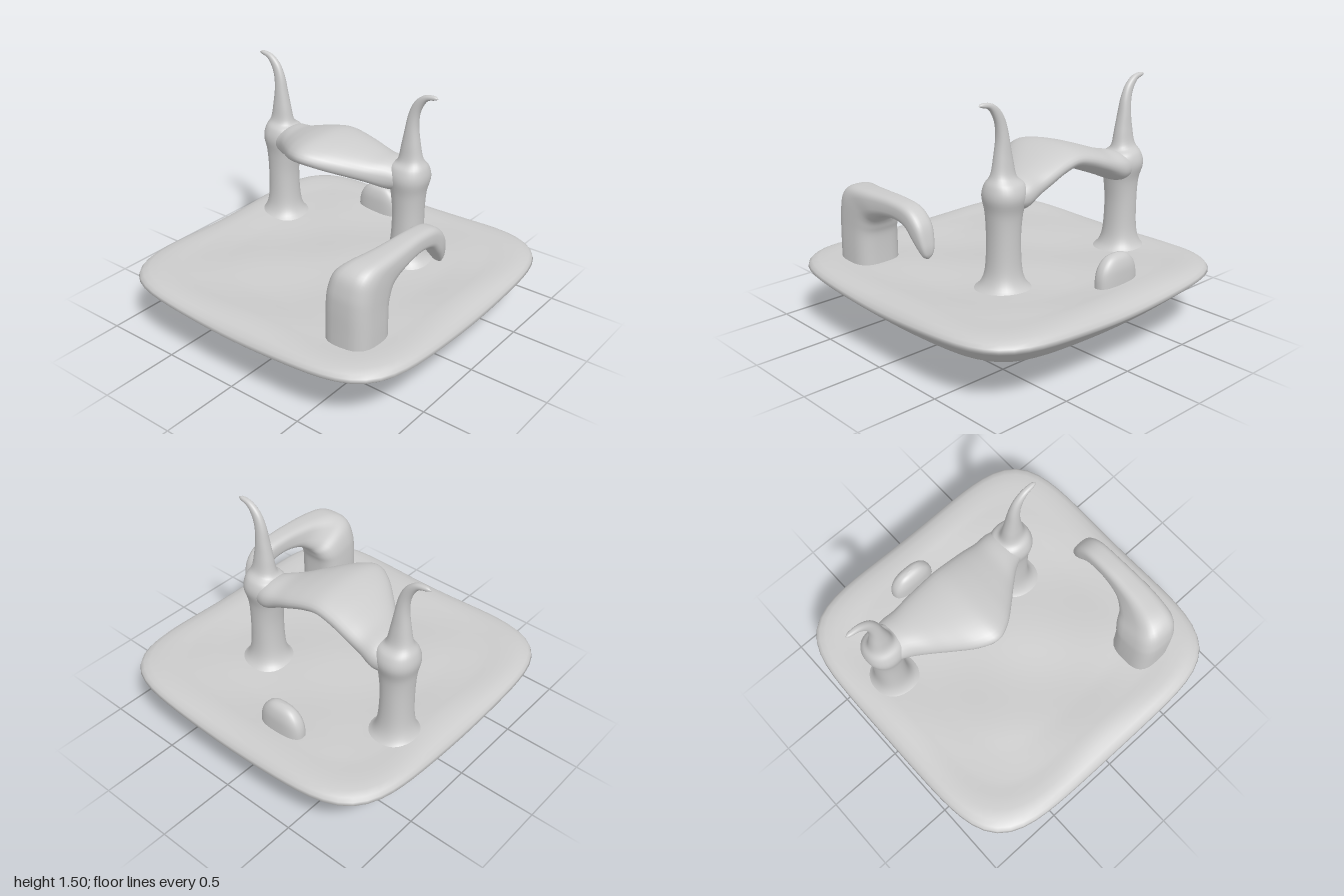
import * as THREE from 'three';

const material = new THREE.MeshStandardMaterial({ color: 0xcccccc });
const power = (v, e) => Math.sign(v) * Math.abs(v) ** e;

// Skin closed rings into a smooth surface, turned so that faces look outward
function skin(name, rings, sides, point) {
  const pos = [], index = [];
  for (let i = 0; i < rings; i++)
    for (let j = 0; j < sides; j++) pos.push(...point(i, (j / sides) * Math.PI * 2));
  for (let i = 0; i < rings - 1; i++)
    for (let j = 0; j < sides; j++) {
      const a = i * sides + j, b = i * sides + ((j + 1) % sides);
      index.push(a, b, a + sides, b, b + sides, a + sides);
    }
  const at = (k) => new THREE.Vector3().fromArray(pos, k * 3);
  let volume = 0;
  for (let k = 0; k < index.length; k += 3)
    volume += at(index[k]).dot(at(index[k + 1]).cross(at(index[k + 2])));
  if (volume < 0) index.reverse();
  const geometry = new THREE.BufferGeometry();
  geometry.setAttribute('position', new THREE.Float32BufferAttribute(pos, 3));
  geometry.setIndex(index);
  geometry.computeVertexNormals();
  const mesh = new THREE.Mesh(geometry, material);
  mesh.name = name;
  return mesh;
}

// Smoothly interpolate rows of numbers (Catmull-Rom)
function smoothRows(rows, steps) {
  const out = [], last = rows.length - 1;
  for (let s = 0; s <= last * steps; s++) {
    const i = Math.min(Math.floor(s / steps), last - 1), t = s / steps - i;
    const [a, b, c, d] = [rows[Math.max(i - 1, 0)], rows[i], rows[i + 1], rows[Math.min(i + 2, last)]];
    out.push(b.map((v, k) => {
      const slope = c[k] - a[k];
      const square = 2 * a[k] - 5 * v + 4 * c[k] - d[k];
      const cube = 3 * (v - c[k]) + d[k] - a[k];
      return v + 0.5 * t * (slope + t * (square + t * cube));
    }));
  }
  return out;
}

// Loft sections [u1, v1, u2, v2, centre, halfDepth]: each spans two in-plane points
function loft(name, rows, exponent, place) {
  const sections = smoothRows(rows, 5);
  return skin(name, sections.length, 32, (i, angle) => {
    const [u1, v1, u2, v2, centre, depth] = sections[i];
    const s = power(Math.cos(angle), 2 / exponent) / 2, d = power(Math.sin(angle), 2 / exponent);
    return place((u1 + u2) / 2 + s * (u2 - u1), (v1 + v2) / 2 + s * (v2 - v1), centre + d * Math.max(depth, 0));
  });
}

// Rounded-square dish: shallow underside, rolled rim with raised corners, rippled top
function makeBase() {
  const under = [[0, 0], [0.18, 0.012], [0.35, 0.028], [0.5, 0.058], [0.65, 0.09], [0.75, 0.14],
    [0.84, 0.195], [0.92, 0.26], [0.98, 0.31], [1, 0.33]];
  const rim = [[0.995, 0.35], [0.98, 0.372], [0.95, 0.393], [0.9, 0.408], [0.84, 0.413]];
  const top = Array.from({ length: 22 }, (_, i) => [0.8 * (1 - i / 21), 0.41 - 0.01 * Math.min(1, i / 5)]);
  const profile = [...under, ...rim, ...top];
  return skin('base', profile.length, 96, (i, angle) => {
    const [r, y] = profile[i], c = Math.cos(angle), s = Math.sin(angle);
    const n = 2.6 + 2.8 * r;
    const k = r / (Math.abs(c) ** n + Math.abs(s) ** n) ** (1 / n);
    const x = k * c, z = k * s;
    const onTop = i >= under.length;
    const fade = onTop ? Math.min(1, Math.max(0, (r - 0.8) * 5)) : 1;
    const lift = 0.035 * Math.sin(2 * angle) ** 2 * r ** 4 * fade;
    const ripple = onTop ? 0.014 * Math.sin(6.5 * x + 1.2) * Math.cos(6 * z + 0.6) * (1 - r ** 4) : 0;
    return [x, y + lift + ripple, z];
  });
}

// Post with a flared foot, swollen joint and outward curling horn
const post = [
  [-0.89, 0.38, -0.53, 0.38, -0.3, 0.18],
  [-0.84, 0.43, -0.58, 0.43, -0.3, 0.13],
  [-0.812, 0.52, -0.605, 0.52, -0.3, 0.105],
  [-0.805, 0.7, -0.613, 0.7, -0.3, 0.1],
  [-0.813, 0.85, -0.6, 0.84, -0.3, 0.107],
  [-0.833, 0.95, -0.58, 0.95, -0.305, 0.128],
  [-0.822, 1.02, -0.585, 1.02, -0.305, 0.11],
  [-0.79, 1.08, -0.63, 1.06, -0.302, 0.066],
  [-0.77, 1.18, -0.652, 1.16, -0.3, 0.05],
  [-0.757, 1.28, -0.672, 1.26, -0.3, 0.04],
  [-0.763, 1.36, -0.692, 1.36, -0.3, 0.031],
  [-0.785, 1.42, -0.728, 1.44, -0.3, 0.025],
  [-0.82, 1.465, -0.79, 1.493, -0.3, 0.02],
  [-0.868, 1.48, -0.86, 1.505, -0.3, 0.014],
  [-0.89, 1.49, -0.89, 1.492, -0.3, 0],
];

// Half of the arched canopy between the posts: top and bottom edge, then depth
const halfArch = [
  [-0.72, 1.0, -0.72, 0.88, -0.305, 0.1],
  [-0.62, 1.045, -0.62, 0.855, -0.295, 0.14],
  [-0.52, 1.065, -0.52, 0.895, -0.25, 0.175],
  [-0.42, 1.1, -0.42, 0.935, -0.205, 0.22],
  [-0.31, 1.135, -0.31, 0.975, -0.158, 0.263],
];
const mirrorX = (x) => -0.4 - x;
const arch = [
  ...halfArch,
  [-0.2, 1.152, -0.2, 1.0, -0.135, 0.285],
  ...halfArch.map(([a, b, c, d, e, f]) => [mirrorX(a), b, mirrorX(c), d, e, f]).reverse(),
];

// Square pillar bending back into a drooping hook (z, y inner and outer; x centre)
const hook = [
  [0.45, 0.36, 0.76, 0.36, 0.605, 0.155],
  [0.45, 0.5, 0.76, 0.5, 0.605, 0.155],
  [0.445, 0.6, 0.76, 0.64, 0.606, 0.152],
  [0.43, 0.65, 0.752, 0.74, 0.61, 0.148],
  [0.415, 0.685, 0.72, 0.835, 0.622, 0.136],
  [0.39, 0.715, 0.64, 0.885, 0.645, 0.112],
  [0.33, 0.753, 0.5, 0.9, 0.668, 0.09],
  [0.25, 0.775, 0.35, 0.905, 0.677, 0.077],
  [0.16, 0.78, 0.19, 0.905, 0.68, 0.07],
  [0.07, 0.757, 0.04, 0.885, 0.682, 0.069],
  [0.005, 0.69, -0.05, 0.81, 0.682, 0.066],
  [-0.035, 0.64, -0.086, 0.7, 0.682, 0.05],
  [-0.06, 0.607, -0.09, 0.635, 0.682, 0.03],
  [-0.075, 0.6, -0.077, 0.602, 0.682, 0],
];

// Low rounded stub at the back
const stub = [
  [-0.36, 0.36, -0.05, 0.36, -0.71, 0.065],
  [-0.358, 0.45, -0.052, 0.45, -0.71, 0.064],
  [-0.34, 0.51, -0.07, 0.51, -0.71, 0.06],
  [-0.305, 0.555, -0.105, 0.555, -0.71, 0.046],
  [-0.265, 0.578, -0.145, 0.578, -0.71, 0.025],
  [-0.21, 0.586, -0.2, 0.586, -0.71, 0],
];

export function createModel() {
  const model = new THREE.Group();
  model.name = 'hornedGateOnDish';
  const upright = (u, v, c) => [u, v, c];
  model.add(
    makeBase(),
    loft('rightHornPost', post, 2.2, upright),
    loft('leftHornPost', post, 2.2, (u, v, c) => [mirrorX(u), v, c]),
    loft('archCanopy', arch, 2.2, upright),
    loft('hookPillar', hook, 3, (u, v, c) => [c, v, u]),
    loft('backStub', stub, 2.6, upright),
  );
  return model;
}
